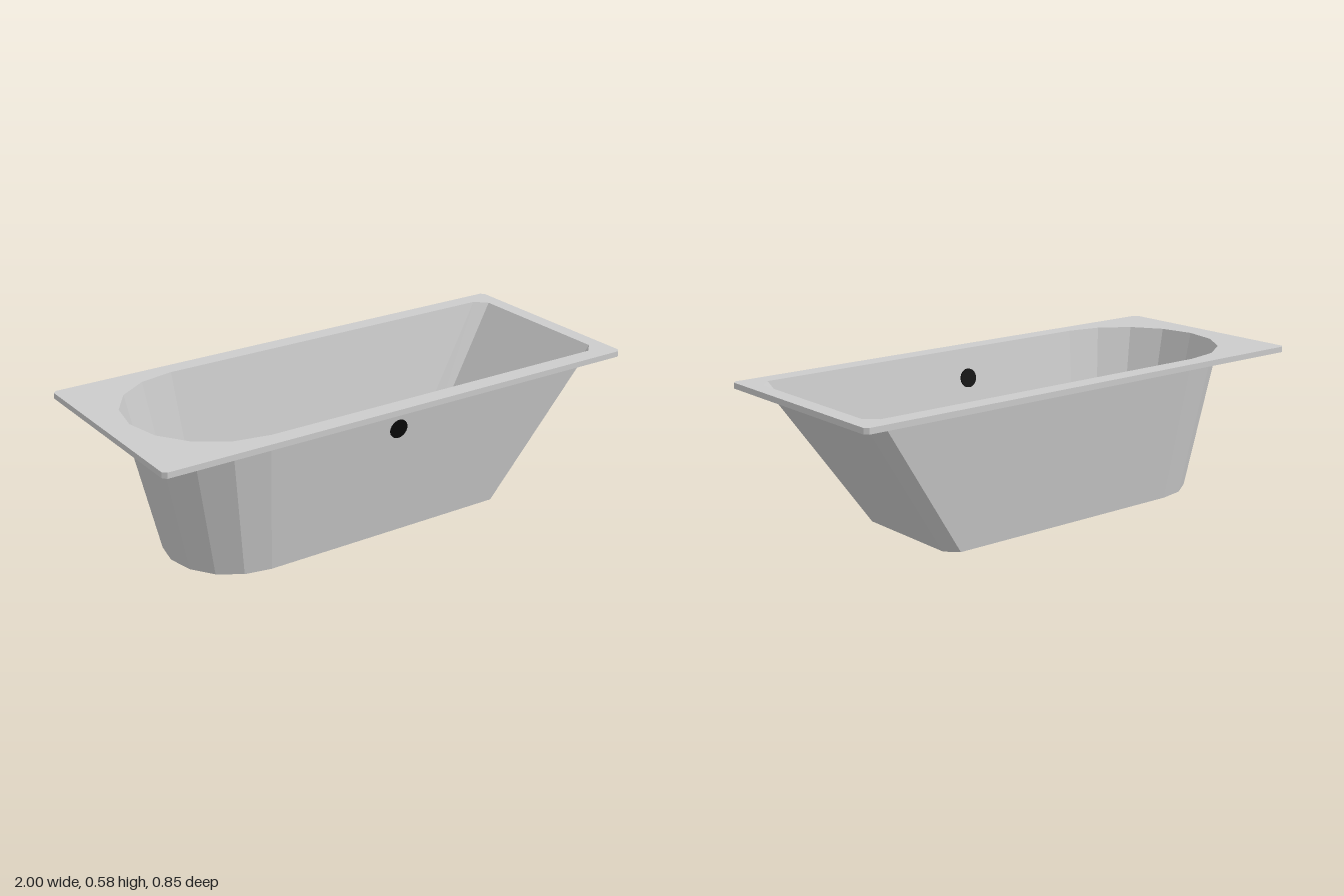
import * as THREE from 'three';

const FLOOR_Y = 0.008, RIM_BOTTOM = 0.555, RIM_TOP = 0.577;
const HEIGHT = RIM_TOP - FLOOR_Y;
const CORNER = 0.045;

// Outline of the basin at t (0 = floor, 1 = top): round foot end, sloped head end with cut corners
function basinOutline(t) {
  const centre = -0.505 - 0.045 * t;
  const r = 0.267 + 0.088 * t;
  const end = 0.55 + 0.39 * t;
  const pts = [];
  for (let i = 0; i <= 8; i++) {
    const a = Math.PI / 2 + (i / 8) * Math.PI;
    pts.push(new THREE.Vector2(centre + r * Math.cos(a), r * Math.sin(a)));
  }
  pts.push(
    new THREE.Vector2(end - CORNER, -r), new THREE.Vector2(end, CORNER - r),
    new THREE.Vector2(end, r - CORNER), new THREE.Vector2(end - CORNER, r));
  return pts;
}

// Rectangular rim outline with small cut corners
function rimOutline() {
  const x = 1, z = 0.425, c = 0.014;
  return [[x - c, z], [c - x, z], [-x, z - c], [-x, c - z],
    [c - x, -z], [x - c, -z], [x, c - z], [x, z - c]].map(p => new THREE.Vector2(...p));
}

// Wall joining two matching outlines at heights y0 and y1
function wall(lower, y0, upper, y1) {
  const pos = [];
  const add = (p, y) => pos.push(p.x, y, -p.y);
  lower.forEach((a, i) => {
    const j = (i + 1) % lower.length;
    add(a, y0); add(lower[j], y0); add(upper[j], y1);
    add(a, y0); add(upper[j], y1); add(upper[i], y1);
  });
  const g = new THREE.BufferGeometry();
  g.setAttribute('position', new THREE.Float32BufferAttribute(pos, 3));
  g.computeVertexNormals();
  return g;
}

// Horizontal face, optionally with an opening, facing up or down
function flatFace(outline, y, hole, up = true) {
  const shape = new THREE.Shape(outline);
  if (hole) shape.holes.push(new THREE.Path(hole));
  const g = new THREE.ShapeGeometry(shape);
  g.rotateX(up ? -Math.PI / 2 : Math.PI / 2);
  return g.translate(0, y, 0);
}

export function createModel() {
  const tub = new THREE.Group();
  tub.name = 'bathtub';
  const enamel = new THREE.MeshStandardMaterial({ color: 0xcccccc, flatShading: true, side: THREE.DoubleSide });
  const black = new THREE.MeshStandardMaterial({ color: 0x0a0a0a });

  const add = (name, geometry, material, parent = tub) => {
    const mesh = new THREE.Mesh(geometry, material);
    mesh.name = name;
    parent.add(mesh);
    return mesh;
  };

  // Basin: thin tapered shell and floor
  const bottom = basinOutline(0), top = basinOutline(1);
  add('basinWall', wall(bottom, FLOOR_Y, top, RIM_TOP), enamel);
  add('basinFloor', flatFace(bottom, FLOOR_Y, null, false), enamel);

  // Rim: slab around the opening
  const rim = new THREE.Group();
  rim.name = 'rim';
  tub.add(rim);
  const outer = rimOutline();
  const under = basinOutline((RIM_BOTTOM - FLOOR_Y) / HEIGHT);
  add('rimTop', flatFace(outer, RIM_TOP, top), enamel, rim);
  add('rimUnderside', flatFace(outer, RIM_BOTTOM, under, false), enamel, rim);
  add('rimEdge', wall(outer, RIM_BOTTOM, outer, RIM_TOP), enamel, rim);

  // Drain through the floor
  add('drain', new THREE.CylinderGeometry(0.037, 0.037, 0.016, 24), black).position.y = FLOOR_Y;

  // Overflow through the front wall, tilted to match its slope
  const overflow = add('overflow', new THREE.CylinderGeometry(0.037, 0.037, 0.01, 24), black);
  overflow.position.set(0, 0.46, 0.337);
  overflow.rotation.x = Math.PI / 2 + Math.atan2(0.088, HEIGHT);

  return tub;
}
